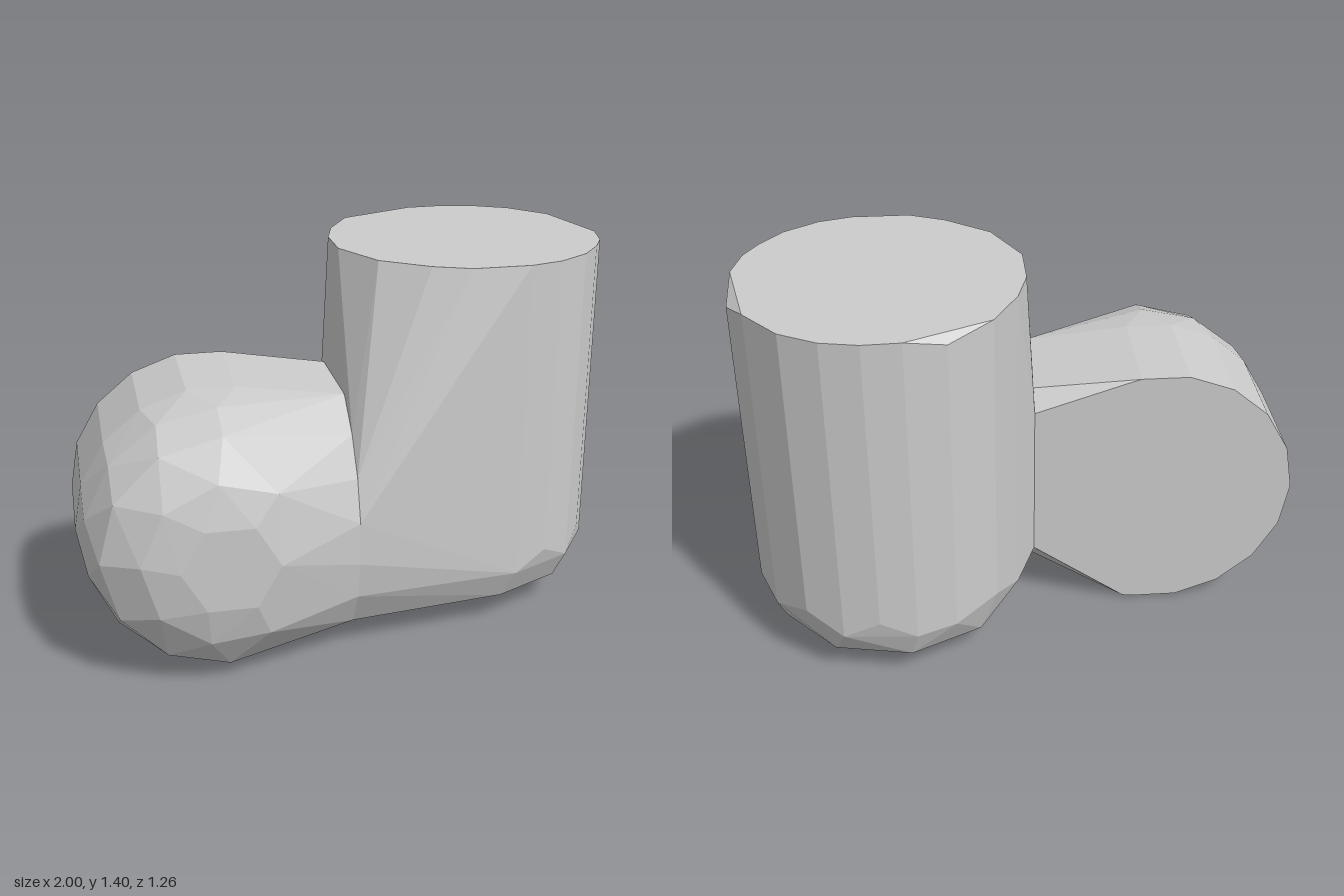
import * as THREE from 'three';
import { ConvexGeometry } from 'three/addons/geometries/ConvexGeometry.js';

const V = (x, y, z) => new THREE.Vector3(x, y, z);

// Points round a circle, as [u, v] pairs; turn staggers neighbouring rings
function ring(cu, cv, r, n, turn = 0) {
  return Array.from({ length: n }, (_, i) => {
    const a = ((i + turn) / n) * Math.PI * 2;
    return [cu + Math.cos(a) * r, cv + Math.sin(a) * r];
  });
}

function hull(name, points) {
  const material = new THREE.MeshStandardMaterial({ color: 0xcccccc, flatShading: true });
  const mesh = new THREE.Mesh(new ConvexGeometry(points), material);
  mesh.name = name;
  return mesh;
}

export function createModel() {
  const group = new THREE.Group();
  group.name = 'elbowPipeHull';

  // Shared joint face between the two pieces, as [z, y]
  const seam = [
    [-0.2, 0.27], [-0.2, 0.87], [-0.145, 0.945], [0.22, 0.945], [0.35, 0.84], [0.44, 0.71],
    [0.49, 0.56], [0.485, 0.4], [0.46, 0.26], [0.38, 0.12], [0.2, 0.065], [0.05, 0.065],
  ].map(([z, y]) => V(-0.03, y, z));

  // Upright pipe: flat top, rounded bottom
  const rim = [
    [0, -0.2], [0, -0.02], [0.1, 0.18], [0.26, 0.3], [0.39, 0.355], [0.6, 0.355],
    [0.72, 0.32], [0.84, 0.24], [0.92, 0.14], [0.97, 0.05], [1, -0.08], [0.93, -0.4],
    [0.81, -0.54], [0.68, -0.61], [0.55, -0.635], [0.42, -0.63], [0.13, -0.5], [0.04, -0.34],
  ];
  const upright = [...seam, V(0.995, 1.38, -0.28), V(0.28, 1.38, -0.595)];
  rim.forEach(([x, z], i) => upright.push(V(x, 1.412, z), V(x, i % 2 ? 0.23 : 0.3, z)));
  upright.push(V(0.995, 0.27, -0.27), V(0.28, 0.25, -0.595));
  for (const [r, y, n, turn] of [[0.455, 0.12, 10, 0.3], [0.33, 0.045, 8, 0], [0.18, 0.03, 6, 0.5]]) {
    for (const [x, z] of ring(0.5, -0.14, r, n, turn)) upright.push(V(x, y, z));
  }
  group.add(hull('uprightPipe', upright));

  // Level pipe: flat back, rounded front, drawn in to the joint
  const level = [...seam];
  const rings = [
    [0.5, -0.2, 18, 0], [0.5, 0.2, 18, 0], [0.48, 0.36, 14, 0.5],
    [0.43, 0.5, 12, 0], [0.3, 0.595, 9, 0.4], [0.17, 0.63, 6, 0],
  ];
  for (const [r, z, n, turn] of rings) {
    for (const [x, y] of ring(-0.5, 0.502, r, n, turn)) if (x < -0.3) level.push(V(x, y, z));
  }
  level.push(V(-0.38, 0.985, -0.2), V(-0.38, 0.015, -0.2));
  group.add(hull('levelPipe', level));

  return group;
}
